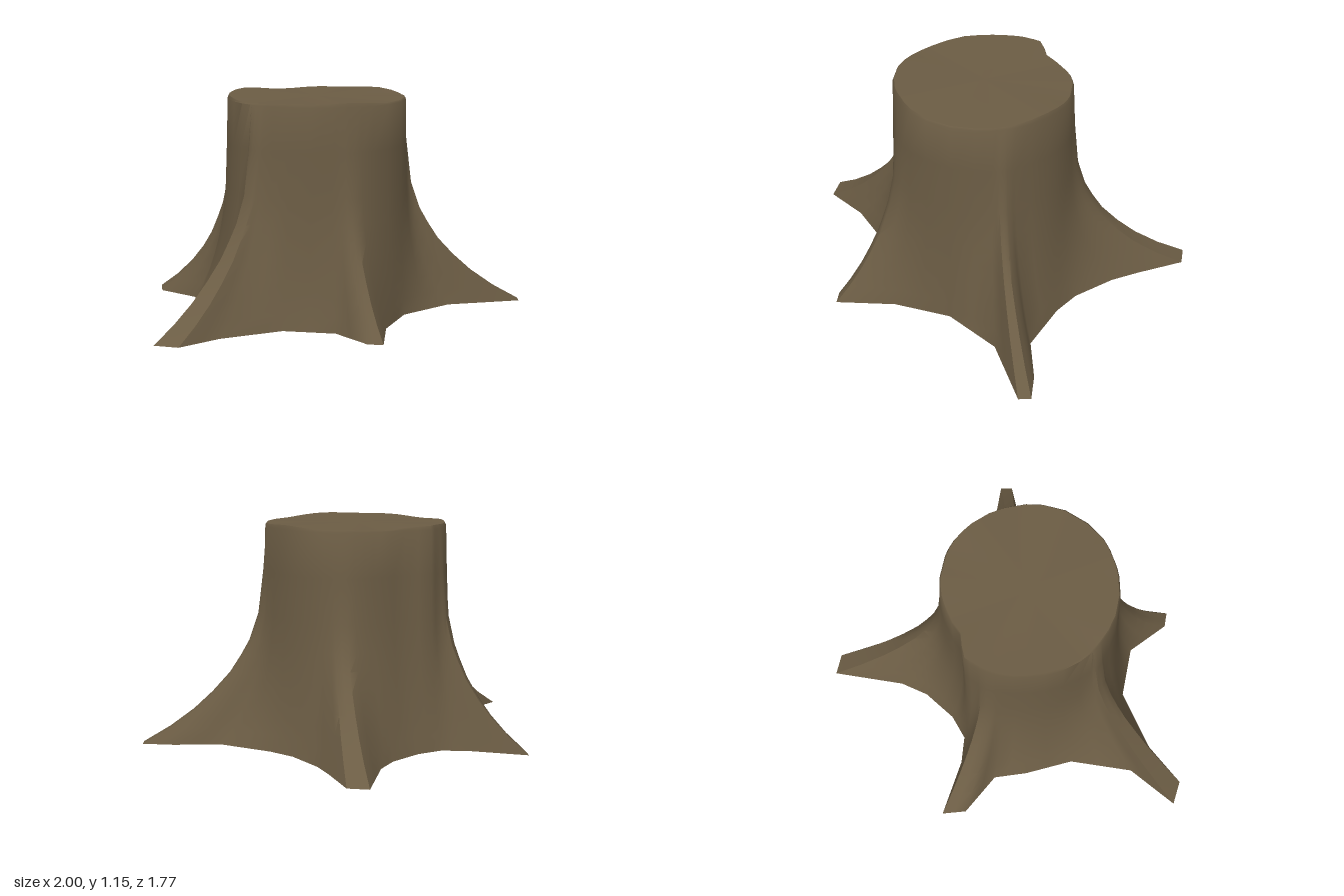
import * as THREE from 'three';
import { toCreasedNormals } from 'three/addons/utils/BufferGeometryUtils.js';

// Trunk axis
const CX = 0.13, CZ = 0.08;

// Ground outline, counter-clockwise from above:
// [x, z, trunk radius above it, degrees the root twists on its way up]
const outline = [
  // right root
  [-1, -0.04, 0.46, 0], [-0.95, 0.08, 0.46, 0], [-0.7, 0.13, 0.46, 0], [-0.39, 0.28, 0.465, 0], [-0.26, 0.52, 0.465, 0],
  // front right root
  [-0.32, 0.76, 0.465, 0], [-0.28, 0.83, 0.465, 0], [-0.02, 0.66, 0.475, 0], [0.27, 0.57, 0.48, 0], [0.6, 0.63, 0.475, 0],
  // front left root
  [0.92, 0.88, 0.47, 0], [0.97, 0.84, 0.47, 0], [0.89, 0.7, 0.47, 0], [0.73, 0.5, 0.47, 0], [0.69, 0.2, 0.465, 0],
  [0.7, 0.04, 0.465, 0], [0.78, -0.19, 0.46, 8], [0.86, -0.33, 0.455, 11],
  // back left root
  [1, -0.55, 0.45, 12], [0.95, -0.65, 0.45, 10], [0.62, -0.46, 0.44, 4], [0.47, -0.42, 0.425, 0], [0.27, -0.43, 0.415, 0],
  // back root, next to the step in the bark
  [0.14, -0.48, 0.49, 0], [0.06, -0.6, 0.485, 0], [-0.05, -0.89, 0.485, 0], [-0.14, -0.8, 0.48, 0], [-0.14, -0.55, 0.475, 0],
  [-0.26, -0.42, 0.465, 0], [-0.41, -0.21, 0.46, 0], [-0.7, -0.04, 0.46, 0],
];

// Flare of the roots: [height, share of the way from trunk to ground outline]
const flare = [
  [0, 1], [0.08, 0.79], [0.17, 0.6], [0.26, 0.45], [0.36, 0.31], [0.45, 0.22],
  [0.53, 0.15], [0.67, 0.075], [0.9, 0.03], [1.13, 0],
];

// Split every outline segment in two and pair each ground point with a trunk point
function makeColumns() {
  const columns = [];
  outline.forEach((a, i) => {
    const b = outline[(i + 1) % outline.length];
    for (const t of [0, 0.5]) {
      const [x, z, r, twist] = a.map((v, k) => v + (b[k] - v) * t);
      const angle = Math.atan2(z - CZ, x - CX) + THREE.MathUtils.degToRad(twist);
      // Roots at the front and right stand a little higher than those at the back and left
      const droop = 1 - 0.06 * Math.sin(angle) + 0.08 * Math.cos(angle);
      columns.push({ x, z, angle, droop, tx: CX + r * Math.cos(angle), tz: CZ + r * Math.sin(angle) });
    }
  });
  return columns;
}

function makeGeometry(positions, index, crease) {
  const g = new THREE.BufferGeometry();
  g.setAttribute('position', new THREE.Float32BufferAttribute(positions, 3));
  g.setIndex(index);
  return toCreasedNormals(g, crease);
}

export function createModel() {
  const group = new THREE.Group();
  const wood = new THREE.MeshStandardMaterial({ color: 0x6b5c44, side: THREE.DoubleSide });
  wood.name = 'brown wood';

  const columns = makeColumns();
  const n = columns.length;
  // Slightly wavy, rounded rim
  const rim = columns.map(({ tx, tz, angle }) => [
    CX + (tx - CX) * 0.985, 1.144 + 0.006 * Math.sin(angle * 3 + 1) + 0.003 * Math.sin(angle * 7), CZ + (tz - CZ) * 0.985,
  ]);

  // Bark: trunk and roots lofted from ring to ring, open underneath
  const positions = [], index = [];
  for (const [y, share] of flare) {
    for (const { x, z, tx, tz, droop } of columns) {
      const f = share ** droop;
      positions.push(tx + (x - tx) * f, y, tz + (z - tz) * f);
    }
  }
  rim.forEach((p) => positions.push(...p));
  for (let k = 0; k < flare.length; k++) {
    for (let i = 0; i < n; i++) {
      const a = k * n + i, b = k * n + (i + 1) % n;
      index.push(a, b, b + n, a, b + n, a + n);
    }
  }
  const bark = new THREE.Mesh(makeGeometry(positions, index, 0.85), wood);
  bark.name = 'trunkAndRoots';
  group.add(bark);

  // Cut face on top
  const capIndex = columns.flatMap((_, i) => [0, 1 + i, 1 + (i + 1) % n]);
  const cut = new THREE.Mesh(makeGeometry([CX, 1.142, CZ, ...rim.flat()], capIndex, 0.8), wood);
  cut.name = 'cutTop';
  group.add(cut);

  return group;
}
